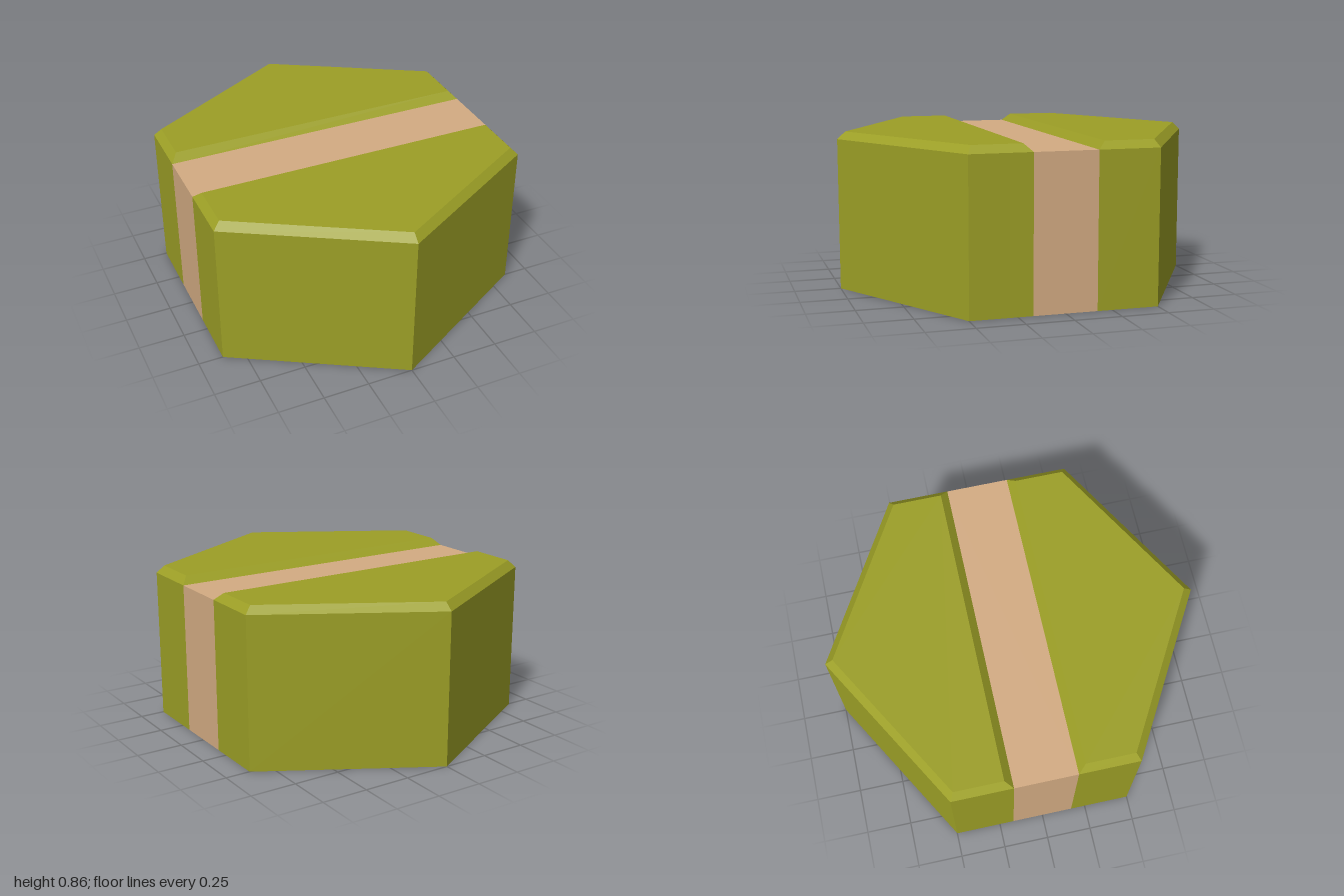
import * as THREE from 'three';

const R = 0.866;        // half width across the flats
const GROOVE = 0.17;    // half width of the path
const SHOULDER = 0.82;  // height where the bevel starts
const TOP = 0.86;

// Five-sided outline of the front half, counter-clockwise from above
const outline = (r, inner, corner, tip) => [[-r, inner], [-r, corner], [0, tip], [r, corner], [r, inner]];

// Half block: walls, bevel, top and underside; the wall against the path is left open
function halfBlockGeometry() {
  const outer = outline(R, GROOVE, 0.5, 1);
  const inset = outline(0.828, 0.212, 0.478, 0.956);
  const at = (loop, y) => loop.map(([x, z]) => [x, y, z]);
  const rings = [at(outer, 0), at(outer, SHOULDER), at(inset, TOP)];
  const pos = [];
  const tri = (a, b, c) => pos.push(...a, ...b, ...c);
  const n = outer.length;
  for (let k = 0; k < 2; k++) {
    for (let i = 0; i < n; i++) {
      if (k === 0 && i === n - 1) continue;
      const j = (i + 1) % n;
      tri(rings[k][i], rings[k][j], rings[k + 1][j]);
      tri(rings[k][i], rings[k + 1][j], rings[k + 1][i]);
    }
  }
  for (let i = 1; i < n - 1; i++) {
    tri(rings[2][0], rings[2][i], rings[2][i + 1]);
    tri(rings[0][0], rings[0][i + 1], rings[0][i]);
  }
  const geometry = new THREE.BufferGeometry();
  geometry.setAttribute('position', new THREE.Float32BufferAttribute(pos, 3));
  geometry.computeVertexNormals();
  return geometry;
}

export function createModel() {
  const olive = new THREE.MeshStandardMaterial({ color: 0x9c9f26 });
  olive.name = 'olive';
  const tan = new THREE.MeshStandardMaterial({ color: 0xd4ac83 });
  tan.name = 'tan';

  const model = new THREE.Group();
  model.name = 'hexTile';
  const add = (name, geometry, material) => {
    const mesh = new THREE.Mesh(geometry, material);
    mesh.name = name;
    model.add(mesh);
    return mesh;
  };

  // Two raised halves
  const half = halfBlockGeometry();
  add('frontHalf', half, olive);
  add('backHalf', half, olive).rotation.y = Math.PI;

  // Sunken path across the middle, with an olive underside
  const path = new THREE.BoxGeometry(2 * R, SHOULDER, 2 * GROOVE);
  path.translate(0, SHOULDER / 2, 0);
  add('path', path, [tan, tan, tan, olive, olive, olive]);

  return model;
}
